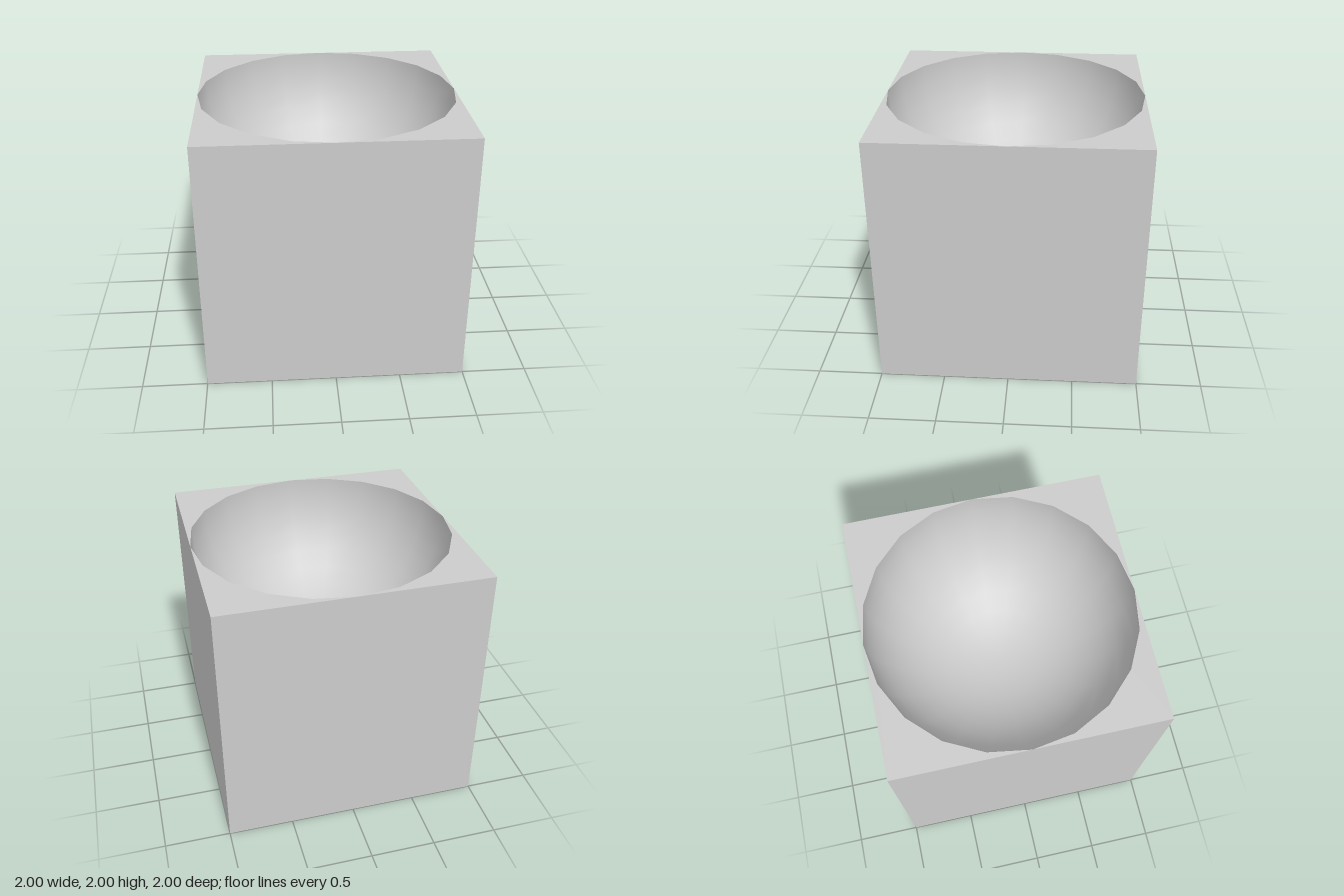
import * as THREE from 'three';

const SEGMENTS = 20;
const SIZE = 2;
const RADIUS = 1;

// Four walls and the floor: a box without its top face
function openBox() {
  const geometry = new THREE.BoxGeometry(SIZE, SIZE, SIZE);
  const index = Array.from(geometry.index.array);
  index.splice(12, 6);
  geometry.setIndex(index);
  geometry.clearGroups();
  return geometry.translate(0, SIZE / 2, 0);
}

// Flat piece between one corner of the square and a quarter of the bowl's rim
function cornerPlate() {
  const points = [new THREE.Vector2(RADIUS, RADIUS)];
  const steps = SEGMENTS / 4;
  for (let i = steps; i >= 0; i--) {
    const a = (i / steps) * Math.PI / 2;
    points.push(new THREE.Vector2(Math.cos(a) * RADIUS, Math.sin(a) * RADIUS));
  }
  return new THREE.ShapeGeometry(new THREE.Shape(points)).rotateX(-Math.PI / 2);
}

// Lower half of a sphere, turned to face inwards
function bowlSurface() {
  const geometry = new THREE.SphereGeometry(RADIUS, SEGMENTS, 10, 0, Math.PI * 2, Math.PI / 2, Math.PI / 2);
  geometry.index.array.reverse();
  const normal = geometry.attributes.normal;
  for (let i = 0; i < normal.array.length; i++) normal.array[i] *= -1;
  return geometry;
}

export function createModel() {
  const model = new THREE.Group();
  model.name = 'blockWithBowl';
  const material = new THREE.MeshStandardMaterial({ color: 0xcccccc });

  function add(name, geometry, y = 0) {
    const mesh = new THREE.Mesh(geometry, material);
    mesh.name = name;
    mesh.position.y = y;
    model.add(mesh);
    return mesh;
  }

  add('blockSides', openBox());
  add('bowl', bowlSurface(), SIZE);

  // Top face, one plate per corner
  const plate = cornerPlate();
  for (let i = 0; i < 4; i++) {
    add('topCorner' + (i + 1), plate, SIZE).rotation.y = i * Math.PI / 2;
  }
  return model;
}
